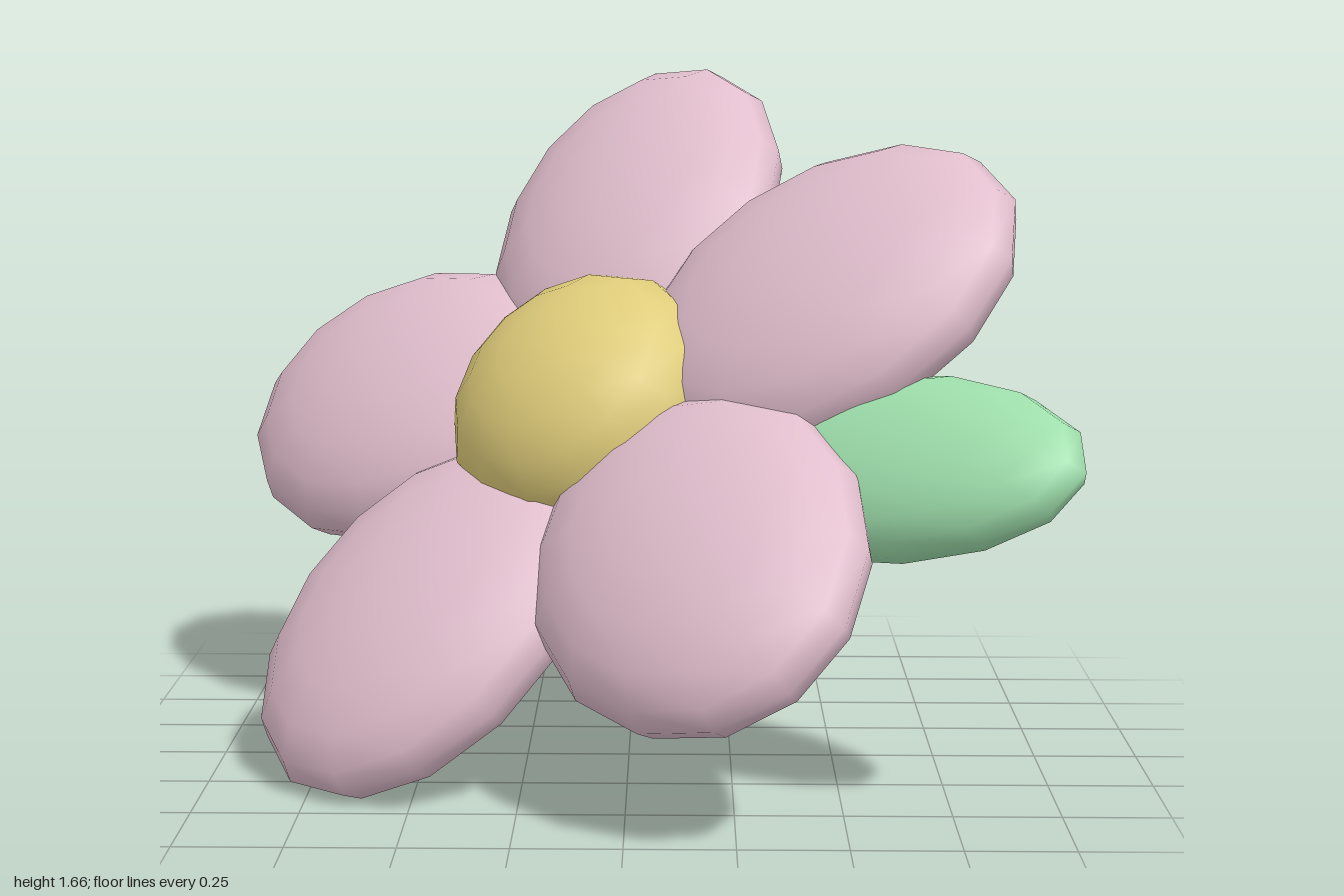
import * as THREE from 'three';

export function createModel() {
  const model = new THREE.Group();
  model.name = 'flower';

  const material = (name, color) => {
    const m = new THREE.MeshStandardMaterial({ color });
    m.name = name;
    return m;
  };
  const pink = material('petal pink', 0xe1becd);
  const yellow = material('centre yellow', 0xdfcc7a);
  const green = material('leaf green', 0x9fdfac);

  // Tilted head: local x and y span the flower plane, local z is the way it faces
  const facing = new THREE.Vector3(-0.5, 0.675, 0.54).normalize();
  const across = new THREE.Vector3(0, 1, 0).cross(facing).normalize();
  const upward = facing.clone().cross(across);
  const head = new THREE.Group();
  head.name = 'flowerHead';
  head.quaternion.setFromRotationMatrix(new THREE.Matrix4().makeBasis(across, upward, facing));
  head.position.set(-0.082, 0.836, -0.047);
  model.add(head);

  // Coarse smooth ball, poles along the facing axis, squashed into each part
  const ball = new THREE.SphereGeometry(1, 14, 10).rotateX(Math.PI / 2);
  const blob = (name, mat, size, position, angle = 0) => {
    const mesh = new THREE.Mesh(ball, mat);
    mesh.name = name;
    mesh.scale.set(...size);
    mesh.position.set(...position);
    mesh.rotation.z = angle;
    head.add(mesh);
  };

  // Five plump petals around the centre
  for (let i = 0; i < 5; i++) {
    const a = THREE.MathUtils.degToRad(112.2 + i * 72);
    blob(`petal${i + 1}`, pink, [0.51, 0.413, 0.185],
      [0.637 * Math.cos(a), 0.637 * Math.sin(a), 0], a);
  }

  // Domed centre, set slightly forward
  blob('flowerCentre', yellow, [0.35, 0.35, 0.245], [0, 0, 0.054]);

  // Leaf behind the gap between two petals
  blob('leaf', green, [0.515, 0.245, 0.14], [0.81, 0.047, -0.12], THREE.MathUtils.degToRad(7));

  return model;
}
